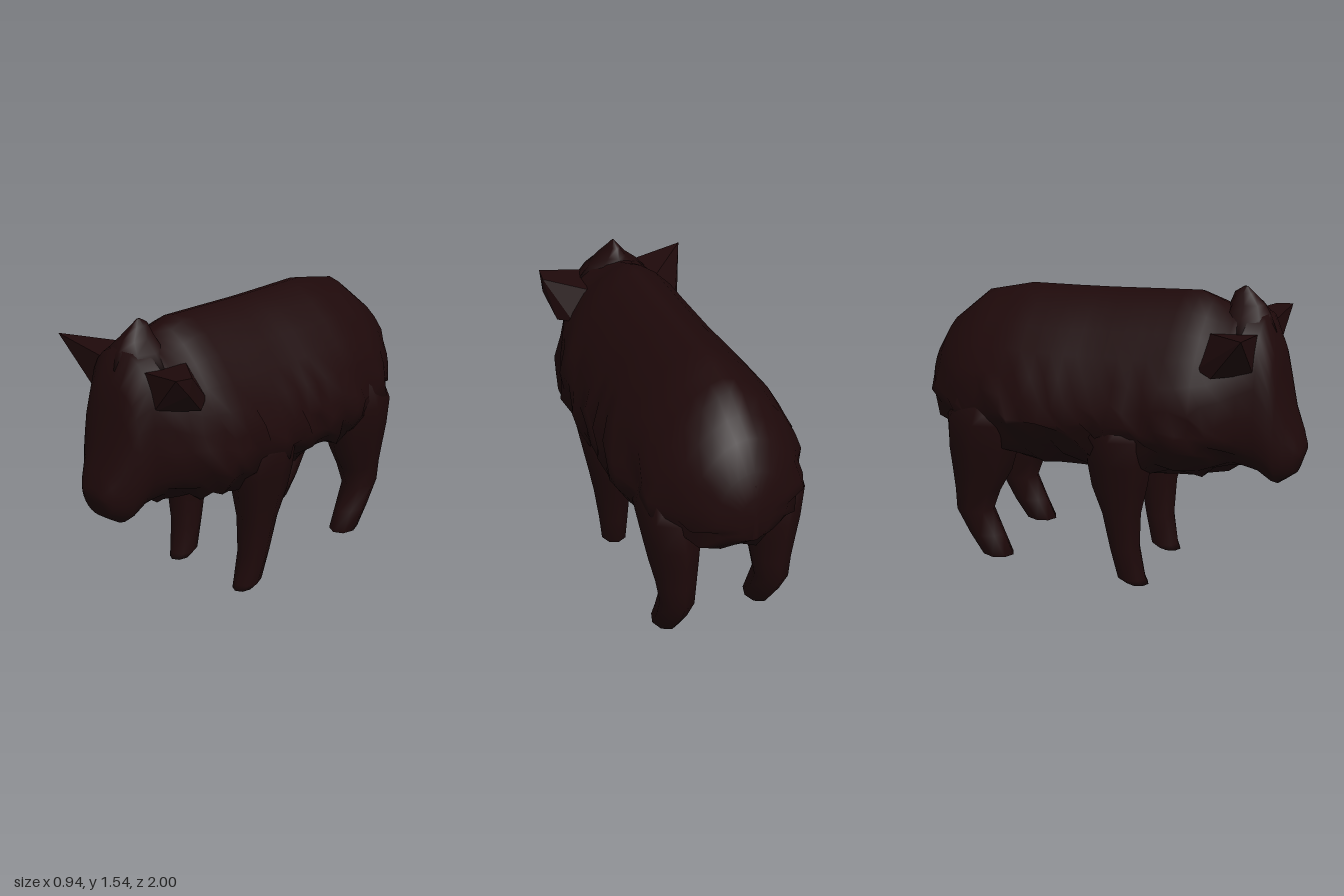
import * as THREE from 'three';
import { ConvexGeometry } from 'three/addons/geometries/ConvexGeometry.js';

// Skin closed rings of points into one smooth, capped surface
function loft(rings) {
  const n = rings[0].length, pos = [], idx = [];
  rings.forEach(r => r.forEach(p => pos.push(...p)));
  for (let i = 0; i < rings.length - 1; i++) {
    for (let j = 0; j < n; j++) {
      const k = (j + 1) % n, a = i * n + j, b = i * n + k;
      idx.push(a, b, b + n, a, b + n, a + n);
    }
  }
  [0, rings.length - 1].forEach((r, end) => {
    const c = pos.length / 3;
    for (let axis = 0; axis < 3; axis++) {
      pos.push(rings[r].reduce((s, p) => s + p[axis], 0) / n);
    }
    for (let j = 0; j < n; j++) {
      const a = r * n + j, b = r * n + (j + 1) % n;
      if (end) idx.push(c, a, b); else idx.push(c, b, a);
    }
  });
  const g = new THREE.BufferGeometry();
  g.setAttribute('position', new THREE.Float32BufferAttribute(pos, 3));
  g.setIndex(idx);
  g.computeVertexNormals();
  return g;
}

const curve = (v, p) => Math.sign(v) * Math.pow(Math.abs(v), 2 / p);

// Cross-section facing along z; powers set how square the upper and lower halves are
function bodyRing([z, top, bottom, hw, mid, up, low], n = 28) {
  return Array.from({ length: n }, (_, j) => {
    const t = j / n * Math.PI * 2, c = Math.cos(t), s = Math.sin(t);
    const q = s > 0 ? up : low;
    return [hw * curve(c, q), mid + (s > 0 ? top - mid : mid - bottom) * curve(s, q), z];
  });
}

// Horizontal eight-sided cross-section for legs and crest, listed from low to high
function flatRing([y, x0, x1, z0, z1], n = 8) {
  return Array.from({ length: n }, (_, j) => {
    const t = j / n * Math.PI * 2;
    return [
      (x0 + x1) / 2 + (x1 - x0) / 2 * Math.cos(t),
      y,
      (z0 + z1) / 2 - (z1 - z0) / 2 * Math.sin(t),
    ];
  });
}

export function createModel() {
  const group = new THREE.Group();
  const hide = new THREE.MeshStandardMaterial({ color: 0x1e090a });
  hide.name = 'dark brown hide';
  const add = (name, geometry) => {
    const mesh = new THREE.Mesh(geometry, hide);
    mesh.name = name;
    group.add(mesh);
  };

  let seed = 7;
  const rand = () => (seed = (seed * 16807) % 2147483647) / 2147483647 - 0.5;

  // Rump, barrel, neck, face and snout:
  // z, top, bottom, half width, widest height, upper power, lower power
  const sections = [
    [-0.995, 1.0, 0.77, 0.08, 0.9, 2, 2],
    [-0.96, 1.12, 0.74, 0.18, 0.9, 2, 2],
    [-0.88, 1.25, 0.66, 0.29, 0.9, 1.8, 2],
    [-0.7, 1.4, 0.58, 0.4, 0.9, 1.6, 2],
    [-0.45, 1.46, 0.53, 0.455, 0.9, 1.52, 1.75],
    [-0.2, 1.47, 0.525, 0.46, 0.9, 1.5, 1.6],
    [0.0, 1.48, 0.53, 0.44, 0.9, 1.5, 1.65],
    [0.3, 1.5, 0.555, 0.43, 0.9, 1.52, 1.8],
    [0.46, 1.51, 0.575, 0.425, 0.92, 1.52, 1.8],
    [0.6, 1.46, 0.62, 0.37, 0.95, 1.65, 1.9],
    [0.73, 1.45, 0.66, 0.285, 0.98, 2.1, 2.1],
    [0.8, 1.43, 0.635, 0.225, 0.98, 2.5, 2.2],
    [0.865, 1.28, 0.59, 0.195, 0.88, 2.5, 2.2],
    [0.89, 1.17, 0.585, 0.18, 0.84, 2.5, 2.2],
    [0.93, 1.0, 0.615, 0.145, 0.78, 2.4, 2.2],
    [0.975, 0.88, 0.65, 0.11, 0.77, 2.3, 2.2],
    [1.0, 0.8, 0.73, 0.075, 0.76, 2, 2],
  ];
  const rings = [];
  sections.forEach((s, i) => {
    const next = sections[i + 1];
    const steps = next ? Math.max(1, Math.round((next[0] - s[0]) / 0.08)) : 1;
    for (let k = 0; k < steps; k++) {
      rings.push(bodyRing(s.map((v, m) => next ? v + (next[m] - v) * k / steps : v)));
    }
  });
  // Ragged coat along the flanks and throat, calmer on the belly line
  rings.forEach(r => r.forEach(p => {
    if (p[1] < 1.05 && p[2] > -0.92 && p[2] < 0.7) {
      p[0] *= 0.98 + rand() * 0.13;
      p[1] += rand() * (p[1] > 0.6 ? 0.07 : 0.02);
      p[2] += rand() * 0.06;
    }
  }));
  add('body', loft(rings));

  // Pointed crest between the ears
  add('crest', loft([
    [1.34, -0.2, 0.2, 0.57, 0.84],
    [1.42, -0.13, 0.13, 0.59, 0.81],
    [1.47, -0.07, 0.07, 0.605, 0.78],
    [1.52, -0.03, 0.03, 0.625, 0.725],
    [1.55, -0.005, 0.005, 0.67, 0.69],
  ].map(r => flatRing(r))));

  // Legs: y, inner x, outer x, back z, front z
  const frontLeg = [
    [0.005, 0.18, 0.28, 0.16, 0.285],
    [0.035, 0.165, 0.3, 0.115, 0.27],
    [0.2, 0.16, 0.325, 0.08, 0.24],
    [0.4, 0.15, 0.355, 0.04, 0.25],
    [0.55, 0.13, 0.385, -0.02, 0.285],
    [0.68, 0.13, 0.41, -0.04, 0.31],
    [0.82, 0.15, 0.435, -0.03, 0.32],
    [0.95, 0.18, 0.39, 0.02, 0.28],
  ];
  const hindLeg = [
    [0.04, 0.19, 0.33, -0.65, -0.475],
    [0.15, 0.18, 0.335, -0.73, -0.525],
    [0.28, 0.17, 0.345, -0.8, -0.585],
    [0.4, 0.155, 0.36, -0.805, -0.54],
    [0.53, 0.14, 0.385, -0.82, -0.465],
    [0.64, 0.13, 0.405, -0.83, -0.43],
    [0.8, 0.15, 0.43, -0.82, -0.38],
    [0.95, 0.18, 0.395, -0.75, -0.4],
  ];
  for (const side of [1, -1]) {
    const label = side > 0 ? 'left' : 'right';
    const place = leg => loft(leg.map(([y, a, b, z0, z1]) =>
      flatRing(side > 0 ? [y, a, b, z0, z1] : [y, -b, -a, z0, z1])));
    add(label + 'FrontLeg', place(frontLeg));
    add(label + 'HindLeg', place(hindLeg));

    // Ears: shared root, blunt tip on the left and sharp tip on the right
    const root = [
      [0.15, 1.36, 0.79], [0.18, 1.35, 0.56], [0.29, 1.2, 0.54],
      [0.345, 1.18, 0.63], [0.2, 1.18, 0.79],
    ];
    const tip = side > 0
      ? [[0.37, 1.39, 0.81], [0.382, 1.38, 0.72], [0.38, 1.3, 0.74]]
      : [[0.43, 1.4, 0.8], [0.3, 1.37, 0.77]];
    add(label + 'Ear', new ConvexGeometry(
      [...root, ...tip].map(([x, y, z]) => new THREE.Vector3(x * side, y, z))));
  }

  // Short tail tucked against the rump
  add('tail', loft([
    [0.77, -0.03, 0.03, -1.0, -0.95],
    [0.9, -0.045, 0.045, -0.998, -0.93],
    [1.06, -0.04, 0.04, -0.98, -0.9],
  ].map(r => flatRing(r))));

  return group;
}
